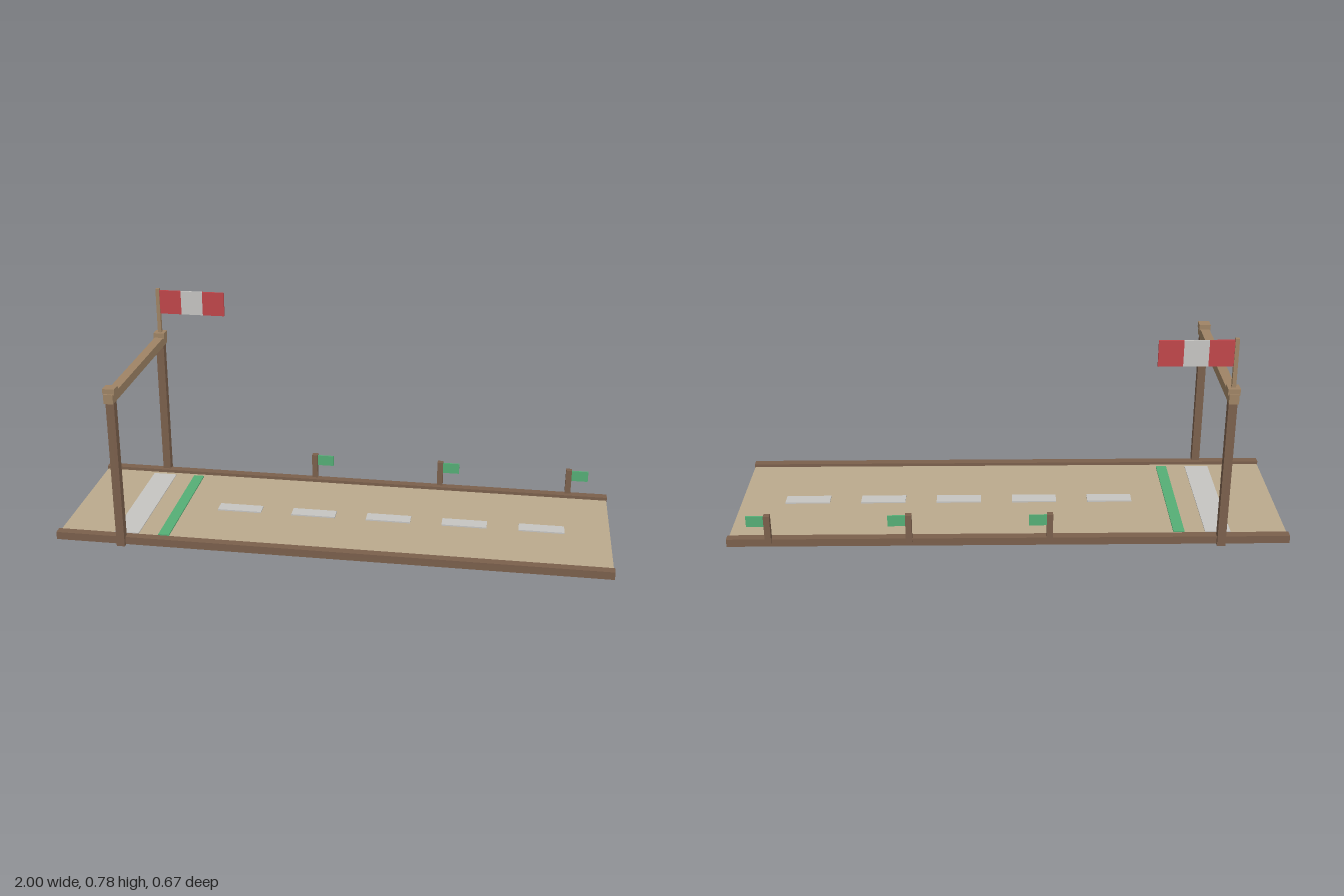
import * as THREE from 'three';

const paint = (name, color) => {
  const m = new THREE.MeshStandardMaterial({ color });
  m.name = name;
  return m;
};

export function createModel() {
  const sand = paint('sand', 0xbbaa8d);
  const darkWood = paint('dark wood', 0x7b604c);
  const lightWood = paint('light wood', 0x9f8465);
  const white = paint('white', 0xc6c5c2);
  const green = paint('green', 0x55ae76);
  const red = paint('red', 0xc0464a);

  const model = new THREE.Group();
  model.name = 'runway';

  // Box given by its min and max on each axis
  const box = (name, mat, [x0, x1], [y0, y1], [z0, z1], parent = model) => {
    const mesh = new THREE.Mesh(new THREE.BoxGeometry(x1 - x0, y1 - y0, z1 - z0), mat);
    mesh.position.set((x0 + x1) / 2, (y0 + y1) / 2, (z0 + z1) / 2);
    mesh.name = name;
    parent.add(mesh);
    return mesh;
  };
  const around = (c, size) => [c - size / 2, c + size / 2];

  // Ground strip and side curbs
  box('deck', sand, [-0.998, 0.998], [0, 0.02], [-0.29, 0.29]);
  for (const s of [-1, 1]) {
    box('curb', darkWood, [-1, 1], [0.003, 0.032], around(s * 0.2915, 0.031));
  }

  // Painted markings
  box('thresholdBand', white, [-0.797, -0.706], [0.019, 0.0235], [-0.255, 0.255]);
  box('startLine', green, [-0.632, -0.592], [0.019, 0.025], [-0.255, 0.255]);
  for (let i = 0; i < 5; i++) {
    box('centreDash', white, around(-0.382 + i * 0.283, 0.166), [0.019, 0.025], around(0, 0.052));
  }

  // Gate: two posts, crossbeam and caps
  const gate = new THREE.Group();
  gate.name = 'gate';
  model.add(gate);
  const gx = -0.754;
  for (const s of [-1, 1]) {
    box('gatePost', darkWood, around(gx, 0.03), [0, 0.575], around(s * 0.305, 0.03), gate);
    box('postCap', lightWood, around(gx, 0.042), [0.588, 0.61], around(s * 0.305, 0.042), gate);
  }
  box('crossbeam', lightWood, around(gx, 0.034), [0.558, 0.592], [-0.333, 0.333], gate);

  // Striped wind flag on its pole
  box('flagPole', lightWood, around(gx, 0.014), [0.6, 0.784], around(-0.305, 0.014), gate);
  [red, white, red].forEach((mat, i) => {
    const x = gx + 0.007 + i * 0.084;
    box('windFlagStripe', mat, [x, x + 0.084], [0.686, 0.778], around(-0.305, 0.008), gate);
  });

  // Small marker flags along the back curb
  for (const x of [-0.145, 0.353, 0.85]) {
    const marker = new THREE.Group();
    marker.name = 'markerFlag';
    model.add(marker);
    box('markerPost', darkWood, around(x, 0.022), [0.02, 0.128], around(-0.305, 0.022), marker);
    box('markerCloth', green, [x + 0.011, x + 0.074], [0.083, 0.124], around(-0.305, 0.006), marker);
  }

  return model;
}
